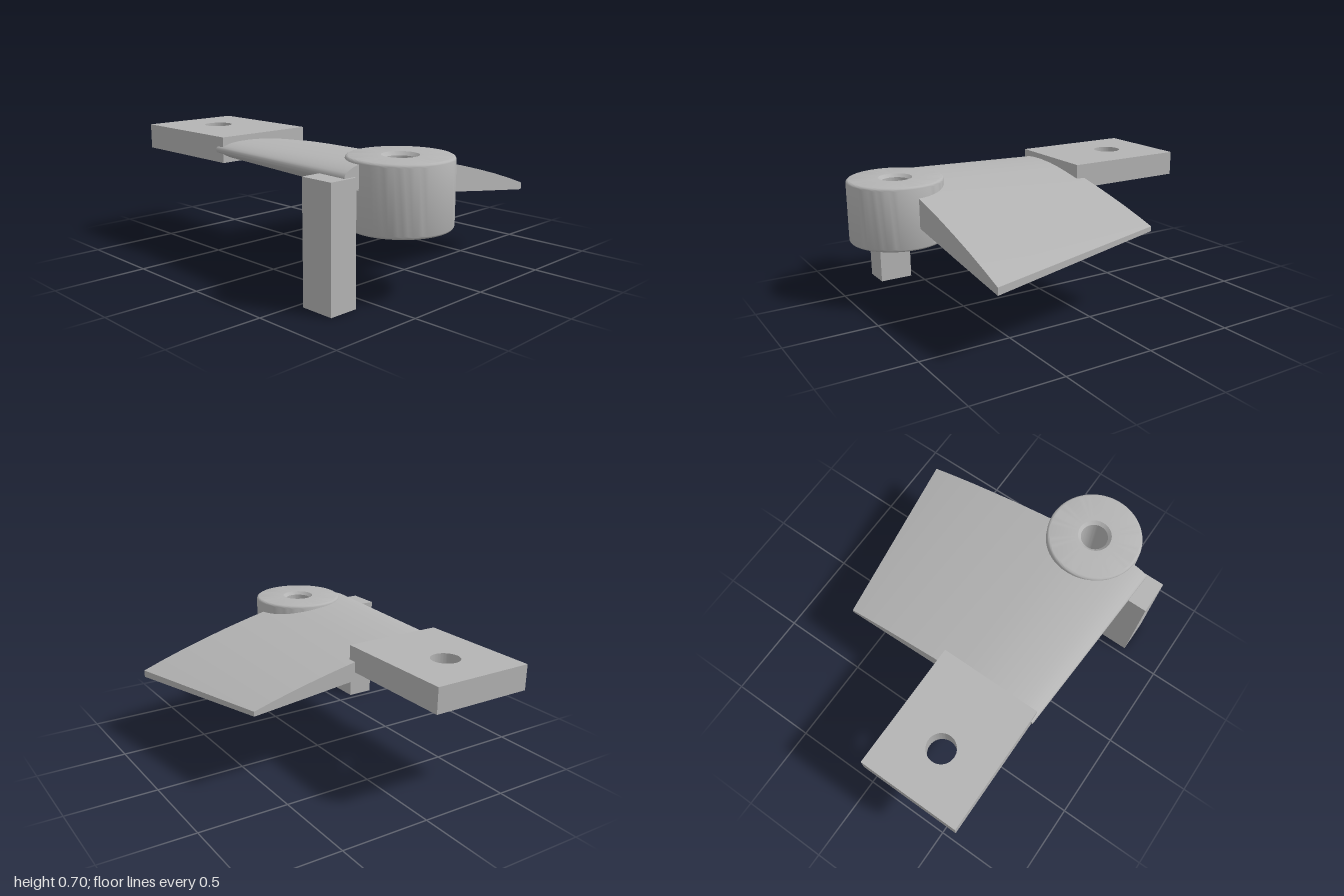
import * as THREE from 'three';
import { toCreasedNormals } from 'three/addons/utils/BufferGeometryUtils.js';

const grey = new THREE.MeshStandardMaterial({ color: 0xb4b4b4 });
grey.name = 'plain grey';

function part(name, geometry) {
  const mesh = new THREE.Mesh(geometry, grey);
  mesh.name = name;
  return mesh;
}

// Tapered blade lofted between a front and a rear section
function bladeGeometry() {
  // x, top y, bottom y of the front section, nose to tail
  const stations = [
    [-0.672, 0.632, 0.632], [-0.669, 0.645, 0.62], [-0.66, 0.655, 0.608], [-0.64, 0.666, 0.592],
    [-0.61, 0.677, 0.574], [-0.58, 0.683, 0.56], [-0.54, 0.688, 0.543], [-0.44, 0.69, 0.525],
    [-0.31, 0.682, 0.506], [-0.19, 0.664, 0.489], [-0.09, 0.643, 0.475], [0.05, 0.612, 0.456],
    [0.2, 0.575, 0.436], [0.35, 0.534, 0.415], [0.5, 0.49, 0.395], [0.65, 0.441, 0.375],
    [0.765, 0.4, 0.36],
  ];
  const zFront = 0.715, zRear = -0.33;
  const point = (x, y, z) => {
    const t = (zFront - z) / (zFront - zRear);
    const xr = -0.615 + (x + 0.672) * 0.836;
    const yr = 0.668 - (0.69 - y) * 0.67;
    return [x + (xr - x) * t, y + (yr - y) * t, z];
  };
  const loops = stations.map(([x, top, bottom]) => {
    // the front edge steps back inside the boss to keep its bore clear
    const z = x > -0.5 && x < -0.13 ? 0.6 : zFront;
    return {
      ft: point(x, top, z), fb: point(x, bottom, z),
      rt: point(x, top, zRear), rb: point(x, bottom, zRear),
    };
  });
  const positions = [];
  const quad = (a, b, c, d) => positions.push(...a, ...b, ...c, ...a, ...c, ...d);
  for (let i = 0; i < loops.length - 1; i++) {
    const p = loops[i], q = loops[i + 1];
    quad(p.ft, q.ft, q.rt, p.rt);
    quad(p.fb, p.rb, q.rb, q.fb);
    quad(p.fb, q.fb, q.ft, p.ft);
    quad(p.rb, p.rt, q.rt, q.rb);
  }
  const e = loops[loops.length - 1];
  quad(e.fb, e.rb, e.rt, e.ft);
  const g = new THREE.BufferGeometry();
  g.setAttribute('position', new THREE.Float32BufferAttribute(positions, 3));
  return toCreasedNormals(g, 1.0);
}

// Round boss with softened rims and a countersunk bore
function bossGeometry() {
  const R = 0.265, r = 0.075, c = 0.018, h = 0.35;
  const profile = [];
  const add = (x, y) => profile.push(new THREE.Vector2(x, y));
  const arc = (y, from) => {
    for (let i = 0; i <= 5; i++) {
      const a = from + (i / 5) * Math.PI / 2;
      add(R - c + c * Math.cos(a), y + c * Math.sin(a));
    }
  };
  arc(c, -Math.PI / 2);
  arc(h - c, 0);
  add(r + c, h);
  add(r, h - c);
  add(r, c);
  add(r + c, 0);
  add(R - c, 0);
  return toCreasedNormals(new THREE.LatheGeometry(profile, 72), 0.5);
}

// Flat mounting plate with a bolt hole
function plateGeometry() {
  const s = new THREE.Shape();
  s.moveTo(-0.603, 0.28);
  s.lineTo(-0.026, 0.28);
  s.lineTo(-0.026, 1);
  s.lineTo(-0.603, 1);
  s.closePath();
  const hole = new THREE.Path();
  hole.absarc(-0.315, 0.715, 0.079, 0, Math.PI * 2, true);
  s.holes.push(hole);
  const g = new THREE.ExtrudeGeometry(s, { depth: 0.14, bevelEnabled: false, curveSegments: 40 });
  g.rotateX(-Math.PI / 2);
  return toCreasedNormals(g, 0.5);
}

export function createModel() {
  const model = new THREE.Group();
  model.name = 'bracketedBlade';

  model.add(part('blade', bladeGeometry()));

  const boss = part('boss', bossGeometry());
  boss.position.set(-0.315, 0.35, 0.733);
  model.add(boss);

  const plate = part('mountingPlate', plateGeometry());
  plate.position.y = 0.56;
  model.add(plate);

  const post = part('post', new THREE.BoxGeometry(0.16, 0.63, 0.19));
  post.position.set(-0.69, 0.315, 0.635);
  model.add(post);

  return model;
}
